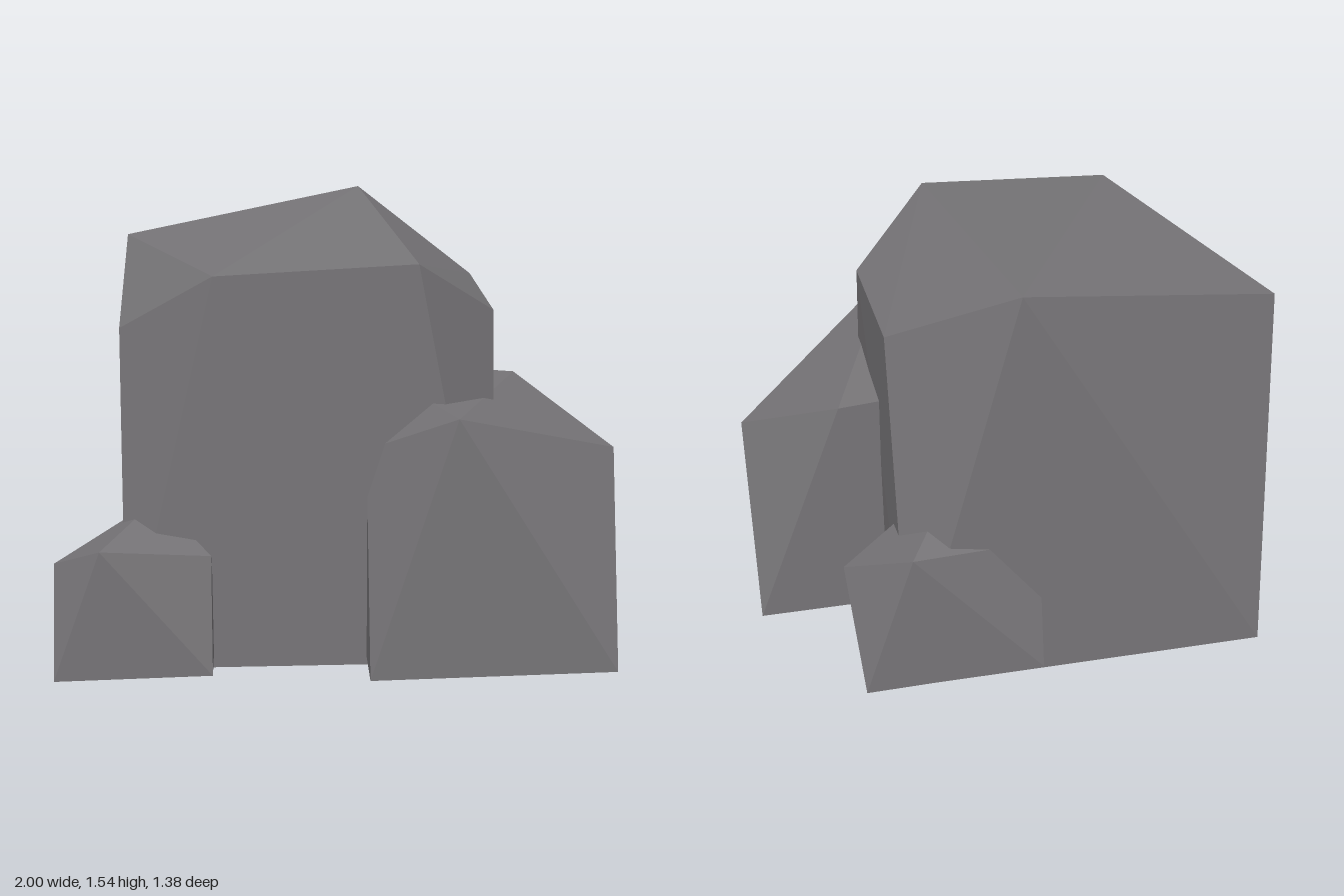
import * as THREE from 'three';
import { ConvexGeometry } from 'three/addons/geometries/ConvexGeometry.js';

// Each boulder: a four-cornered base and the vertices of its chipped crown
const boulders = {
  mainBoulder: {
    floor: 0,
    base: [[-0.783, -0.63], [-0.77, 0.475], [0.535, 0.475], [0.52, -0.63]],
    crown: [
      [0.11, 1.54, -0.63], [0.25, 1.44, 0.475], [-0.44, 1.405, 0.475], [-0.783, 1.38, -0.5],
      [0.535, 1.23, 0.24], [0.515, 1.255, -0.3], [-0.775, 1.17, 0.2],
    ],
  },
  frontBoulder: {
    floor: 0.03,
    base: [[0.08, -0.16], [0.08, 0.685], [0.945, 0.65], [1, -0.16]],
    crown: [
      [0.37, 0.96, 0.685], [1, 0.695, 0.15], [0.67, 0.905, -0.16],
      [0.08, 0.78, 0.42], [0.1, 0.95, -0.16],
    ],
  },
  sideRock: {
    floor: 0.05,
    base: [[-1, 0.21], [-1, 0.685], [-0.46, 0.66], [-0.46, 0.2]],
    crown: [
      [-0.83, 0.515, 0.685], [-1, 0.42, 0.53], [-0.46, 0.455, 0.575],
      [-0.95, 0.35, 0.25], [-0.66, 0.54, 0.2],
    ],
  },
  backRock: {
    floor: 0.05,
    base: [[0.04, -0.68], [0.04, -0.27], [0.67, -0.27], [0.68, -0.69]],
    crown: [
      [0.715, 0.455, -0.48], [0.5, 0.6, -0.69], [0.27, 0.665, -0.27], [0.04, 0.54, -0.59],
    ],
  },
};

export function createModel() {
  const group = new THREE.Group();
  group.name = 'rockCluster';
  const stone = new THREE.MeshStandardMaterial({ color: 0x777578 });
  stone.name = 'greyStone';

  // Faceted stone wrapped around its base and crown points
  for (const [name, { floor, base, crown }] of Object.entries(boulders)) {
    const points = [
      ...base.map(([x, z]) => new THREE.Vector3(x, floor, z)),
      ...crown.map((p) => new THREE.Vector3(...p)),
    ];
    const mesh = new THREE.Mesh(new ConvexGeometry(points), stone);
    mesh.name = name;
    group.add(mesh);
  }
  return group;
}
